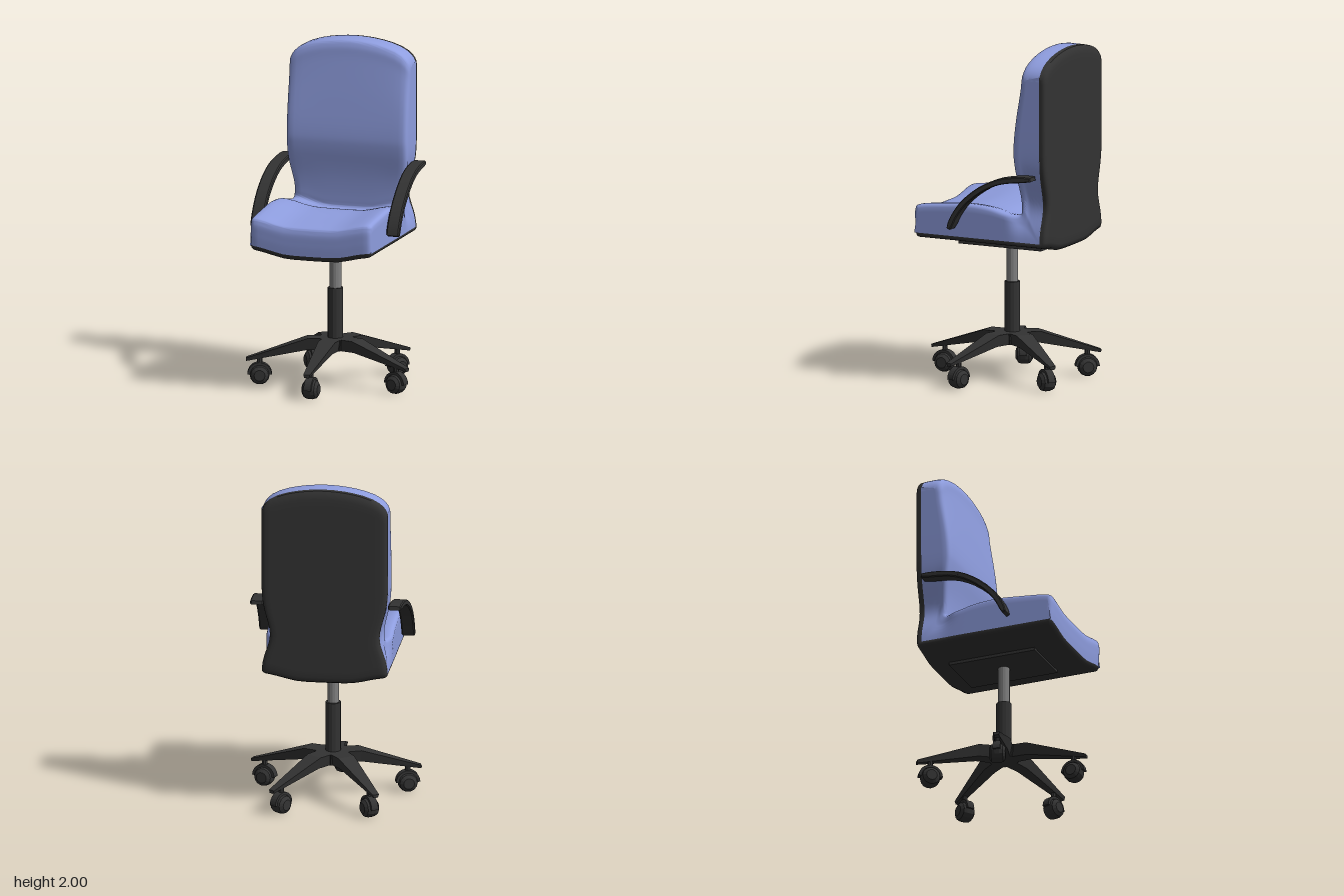
import * as THREE from 'three';
import { toCreasedNormals } from 'three/addons/utils/BufferGeometryUtils.js';

const { smoothstep, clamp, mapLinear } = THREE.MathUtils;
const fabric = new THREE.MeshStandardMaterial({ color: 0x8f9ee0 });
const dark = new THREE.MeshStandardMaterial({ color: 0x333333 });
const darkFlat = new THREE.MeshStandardMaterial({ color: 0x333333, flatShading: true });
const steel = new THREE.MeshStandardMaterial({ color: 0x808080, flatShading: true });
const V = (x, y) => new THREE.Vector2(x, y);

function add(parent, name, geometry, material, x = 0, y = 0, z = 0) {
  const mesh = new THREE.Mesh(geometry, material);
  mesh.name = name;
  mesh.position.set(x, y, z);
  parent.add(mesh);
  return mesh;
}

// Subdivide straight segments so that they can follow the width and sag rules
function dense(pts, step = 0.04) {
  const out = [];
  for (let i = 0; i < pts.length - 1; i++) {
    const n = Math.max(1, Math.round(pts[i].distanceTo(pts[i + 1]) / step));
    for (let k = 0; k < n; k++) out.push(pts[i].clone().lerp(pts[i + 1], k / n));
  }
  out.push(pts[pts.length - 1]);
  return out;
}

// Half width: the back is waisted just above the seat
function halfWidth(z, y) {
  const spread = y > 1.1 ? 0.15 : 0.12;
  return 0.37 - 0.05 * Math.exp(-(((y - 1.1) / spread) ** 2)) * (1 - smoothstep(z, -0.3, -0.2));
}

// Sweep an open (z, y) profile across the chair and close both sides with a
// grid that runs from each profile point to its partner on the seam.
// The sides are rounded, the seat sags in the middle and the top is domed.
function sweep(profile, seamPoint) {
  const n = profile.length, pos = [], index = [];
  const normals = profile.map((p, j) => {
    const t = profile[Math.min(j + 1, n - 1)].clone().sub(profile[Math.max(j - 1, 0)]).normalize();
    return V(t.y, -t.x);
  });
  const row = (s, inset, blend) => profile.forEach((p, j) => {
    const q = p.clone().lerp(seamPoint(p), blend);
    const shrink = inset * (1 - blend);
    let y = q.y - normals[j].y * shrink;
    y -= (0.01 * (1 - s * s) + 0.032 * (1 - smoothstep(Math.abs(s), 0.35, 0.95))) * (1 - smoothstep(q.y, 1.08, 1.3));
    y -= (0.075 * s * s + 0.045 * s ** 8) * smoothstep(q.y, 1.5, 1.97);
    pos.push(s * halfWidth(q.x, q.y), y, q.x - normals[j].x * shrink);
  });
  const half = [[0.15, 0], [0.3, 0], [0.45, 0], [0.6, 0], [0.75, 0], [0.86, 0],
    [0.93, 0.001], [0.965, 0.005], [0.988, 0.012], [1, 0.024]];
  const blends = [1 / 6, 2 / 6, 3 / 6, 4 / 6, 5 / 6, 1];
  const rows = [...half.map(([s, d]) => [s, d, 0]), ...blends.map((b) => [1, 0.024, b])];
  const all = [...rows.map(([s, d, b]) => [-s, d, b]).reverse(), [0, 0, 0], ...rows];
  for (const r of all) row(...r);
  for (let i = 0; i < all.length - 1; i++) {
    for (let j = 0; j < n - 1; j++) {
      const a = i * n + j, d = a + 1;
      index.push(a, a + n, d, a + n, d + n, d);
    }
  }
  const g = new THREE.BufferGeometry();
  g.setAttribute('position', new THREE.Float32BufferAttribute(pos, 3));
  g.setIndex(index);
  return toCreasedNormals(g, 0.9);
}

// Padded seat and back in one piece, with a dark shell behind and below
function upholstery(group) {
  const front = V(0.405, 0.89), top = V(-0.41, 2), crease = V(-0.262, 1.05);
  const pad = new THREE.SplineCurve([front, V(0.41, 0.96), V(0.408, 1.03), V(0.375, 1.06), V(0.2, 1.08),
    V(0.06, 1.09), V(-0.08, 1.08), V(-0.2, 1.053), crease, V(-0.268, 1.09), V(-0.26, 1.2),
    V(-0.235, 1.36), V(-0.232, 1.46), V(-0.25, 1.65), V(-0.277, 1.88), V(-0.287, 1.965),
    V(-0.315, 1.998), top]).getPoints(100);
  const creaseIndex = pad.findIndex((p) => p.x < -0.25);
  const padSeam = (p) => (pad.indexOf(p) < creaseIndex
    ? V(clamp(mapLinear(p.x, front.x, -0.25, front.x, top.x), top.x, front.x), front.y)
    : V(top.x, clamp(mapLinear(p.y, crease.y, top.y, front.y, top.y), front.y, top.y)));
  add(group, 'cushion', sweep(pad, padSeam), fabric);
  const shell = dense([top, V(-0.435, 1.998), V(-0.446, 1.98), V(-0.45, 1.95), V(-0.45, 0.9),
    V(-0.443, 0.874), V(-0.42, 0.862), V(0.385, 0.862), V(0.399, 0.87), front]);
  const shellSeam = (p) => V(clamp(p.x, top.x, front.x), clamp(p.y, front.y, top.y));
  add(group, 'shell', sweep(shell, shellSeam), dark);
  add(group, 'underPlate', new THREE.BoxGeometry(0.34, 0.03, 0.54), dark, 0, 0.822, -0.05);
}

// Curved strip from the side of the back down to the side of the seat
function armrest(group, side) {
  const curve = new THREE.SplineCurve([V(0.142, 0.952), V(0.105, 1.03), V(0.04, 1.115), V(-0.06, 1.195),
    V(-0.16, 1.245), V(-0.26, 1.268), V(-0.38, 1.28)]);
  const upper = [], lower = [];
  for (let i = 0; i <= 14; i++) {
    const t = i / 14, p = curve.getPoint(t), d = curve.getTangent(t);
    const h = i === 0 || i === 14 ? 0.007 : 0.012;
    upper.push(V(p.x + d.y * h, p.y - d.x * h));
    lower.unshift(V(p.x - d.y * h, p.y + d.x * h));
  }
  const g = new THREE.ExtrudeGeometry(new THREE.Shape([...upper, ...lower]), {
    depth: 0.064, bevelThickness: 0.007, bevelSize: 0.005, bevelSegments: 1 });
  g.translate(0, 0, -0.032).rotateY(-Math.PI / 2);
  const pos = g.attributes.position;
  for (let i = 0; i < pos.count; i++) {
    const lean = smoothstep(pos.getZ(i), -0.4, 0.05);
    pos.setX(i, pos.getX(i) + side * (0.403 + 0.014 * lean));
  }
  add(group, side > 0 ? 'leftArmrest' : 'rightArmrest', toCreasedNormals(g, 0.6), dark);
}

// Tapered leg: flat at the hub, then sloping down to the tip
function legGeometry() {
  const sections = [ // distance, bottom, top, half width
    [0, 0.215, 0.285, 0.06], [0.16, 0.215, 0.285, 0.052], [0.52, 0.143, 0.162, 0.02]];
  const g = new THREE.BoxGeometry(1, 1, 2, 1, 1, 2);
  const pos = g.attributes.position;
  for (let i = 0; i < pos.count; i++) {
    const [r, low, high, w] = sections[Math.round(pos.getZ(i) + 1)];
    const isTop = pos.getY(i) > 0;
    pos.setXYZ(i, Math.sign(pos.getX(i)) * w * (isTop ? 1 : 0.7), isTop ? high : low, r);
  }
  return g;
}

// Barrel-shaped caster with a hood over the top
function caster() {
  const group = new THREE.Group();
  group.name = 'caster';
  const wheel = new THREE.LatheGeometry([V(0, -0.048), V(0.032, -0.048), V(0.052, -0.034), V(0.058, -0.014),
    V(0.058, 0.014), V(0.052, 0.034), V(0.032, 0.048), V(0, 0.048)], 14);
  wheel.rotateZ(Math.PI / 2);
  add(group, 'wheel', wheel, darkFlat, 0, 0.062, 0);
  const arch = new THREE.Shape();
  arch.absarc(0, 0, 0.071, 0, Math.PI, false);
  arch.absarc(0, 0, 0.055, Math.PI, 0, true);
  const hood = new THREE.ExtrudeGeometry(arch, { depth: 0.044, bevelEnabled: false, curveSegments: 8 });
  hood.translate(0, 0, -0.022).rotateY(Math.PI / 2);
  add(group, 'hood', hood, darkFlat, 0, 0.064, 0);
  add(group, 'pin', new THREE.CylinderGeometry(0.016, 0.016, 0.05, 8), darkFlat, 0, 0.145, 0);
  return group;
}

// Gas column and five-legged base
function base(group) {
  const stand = new THREE.Group();
  stand.name = 'base';
  stand.position.z = -0.045;
  group.add(stand);
  add(stand, 'piston', new THREE.CylinderGeometry(0.034, 0.034, 0.26, 14), steel, 0, 0.69, 0);
  add(stand, 'column', new THREE.CylinderGeometry(0.045, 0.045, 0.36, 14), darkFlat, 0, 0.4, 0);
  add(stand, 'hub', new THREE.CylinderGeometry(0.105, 0.085, 0.07, 5), darkFlat, 0, 0.25, 0)
    .rotation.y = Math.PI / 5;
  const geometry = legGeometry();
  for (let i = 0; i < 5; i++) {
    const spoke = new THREE.Group();
    spoke.name = 'spoke';
    spoke.rotation.y = i * Math.PI * 0.4;
    add(spoke, 'leg', geometry, darkFlat);
    const roller = caster();
    roller.position.z = 0.44;
    spoke.add(roller);
    stand.add(spoke);
  }
}

export function createModel() {
  const group = new THREE.Group();
  group.name = 'officeChair';
  upholstery(group);
  for (const side of [1, -1]) armrest(group, side);
  base(group);
  return group;
}
